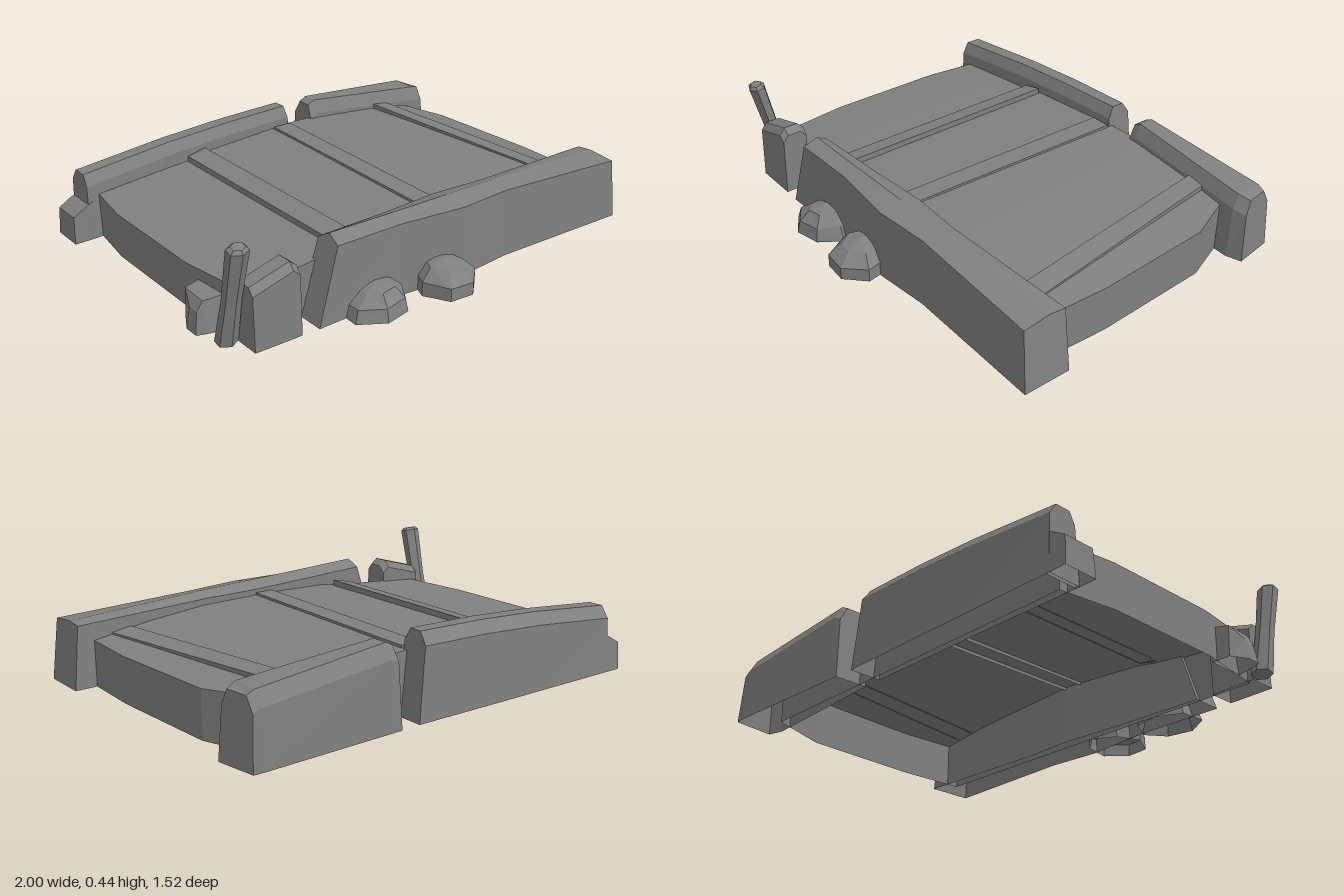
import * as THREE from 'three';

const stone = new THREE.MeshStandardMaterial({ color: 0x808080, flatShading: true, side: THREE.DoubleSide });
stone.name = 'grey stone';

function makeMesh(name, geometry) {
  const mesh = new THREE.Mesh(geometry, stone);
  mesh.name = name;
  return mesh;
}

// Joins cross-sections (front base over the top to back base) with flat faces, open underneath
function loft(name, sections, caps = true) {
  const out = [];
  const tri = (...pts) => pts.forEach((p) => out.push(...p));
  for (let i = 0; i < sections.length - 1; i++) {
    const s = sections[i], t = sections[i + 1];
    for (let j = 0; j < s.length - 1; j++) {
      tri(s[j], t[j], t[j + 1]);
      tri(s[j], t[j + 1], s[j + 1]);
    }
  }
  if (caps) {
    const a = sections[0], b = sections[sections.length - 1];
    for (let j = 1; j < a.length - 1; j++) {
      tri(a[0], a[j], a[j + 1]);
      tri(b[0], b[j + 1], b[j]);
    }
  }
  const g = new THREE.BufferGeometry();
  g.setAttribute('position', new THREE.Float32BufferAttribute(out, 3));
  g.computeVertexNormals();
  return makeMesh(name, g);
}

// Section at x whose upper points shift sideways with height; profile is [z, y] pairs
const section = (x, lean, profile) => profile.map(([z, y]) => [x + lean * y, y, z]);

// Height of the arched deck at x
const arch = [
  [-0.92, 0.19], [-0.6, 0.216], [-0.44, 0.226], [-0.32, 0.25], [0.05, 0.268], [0.35, 0.26], [0.65, 0.235], [0.92, 0.195],
];
function deckY(x) {
  let i = 0;
  while (i < arch.length - 2 && x > arch[i + 1][0]) i++;
  return THREE.MathUtils.mapLinear(x, arch[i][0], arch[i + 1][0], arch[i][1], arch[i + 1][1]);
}

function deck() {
  // z, left end and right end of each row
  const rows = [[0.475, -0.855, 0.9], [0.15, -0.9, 0.912], [-0.38, -0.9, 0.885], [-0.63, -0.865, 0.79]];
  const stations = [0, 0.17, 0.26, 0.32, 0.53, 0.7, 0.86, 1];
  const top = stations.map((t) => {
    const pts = rows.map(([z, l, r]) => {
      const x = l + (r - l) * t;
      return [x, deckY(x), z];
    });
    const f = pts[0], b = pts[3];
    return [[f[0], 0, f[2]], ...pts, [b[0], 0, b[2]]];
  });
  // end walls drop straight to the ground
  const drop = (s) => s.map(([x, , z]) => [x, 0, z]);
  return loft('deck', [drop(top[0]), ...top, drop(top[top.length - 1])], false);
}

// Thin raised course across the deck: x edges and rise at the back and at the front
function course(name, back, front, riseBack, riseFront, sink) {
  const zb = -0.6, zf = 0.425;
  const edge = (xb, xf) => {
    const yb = deckY(xb), yf = deckY(xf);
    return [[xf, yf - sink, zf], [xf, yf + riseFront, zf], [xb, yb + riseBack, zb], [xb, yb - sink, zb]];
  };
  return loft(name, [edge(back[0], front[0]), edge(back[1], front[1])]);
}

// Half-buried stone; sweep over 0.5 makes the sides bulge above the ground
function boulder(name, x, z, rx, h, rz, turn, sweep) {
  const g = new THREE.SphereGeometry(1, 7, 3, 0, Math.PI * 2, 0, Math.PI * sweep);
  const p = g.attributes.position;
  const base = Math.cos(Math.PI * sweep);
  for (let i = 0; i < p.count; i++) {
    const a = p.getX(i), y = (p.getY(i) - base) / (1 - base), b = p.getZ(i);
    const k = 1 + 0.07 * Math.sin(5 * a + 3 * b + turn);
    p.setXYZ(i, a * k, y * (1 + 0.1 * a), b * k);
  }
  g.rotateY(turn);
  g.scale(rx, h, rz);
  g.translate(x, 0, z);
  return makeMesh(name, g);
}

export function createModel() {
  const group = new THREE.Group();
  group.name = 'stoneBridge';

  group.add(deck());
  group.add(course('deckCourse', [-0.43, -0.34], [-0.43, -0.34], 0.025, 0.025, 0.004));
  group.add(course('middleCourse', [0.035, 0.125], [0.01, 0.1], 0.01, 0.01, 0.015));
  group.add(course('endCourse', [0.62, 0.7], [0.73, 0.82], 0.02, 0.007, 0.004));

  // Front parapet with a ridge along its top
  const frontWall = (x, lean, zo, zr, zi, yo, yr, yi) =>
    section(x, lean, [[zo, 0], [zo - 0.012, yo], [zr, yr], [zi + 0.005, yi], [zi, 0]]);
  group.add(loft('frontParapet', [
    frontWall(-0.605, 0.31, 0.59, 0.515, 0.455, 0.31, 0.337, 0.305),
    frontWall(-0.2, 0, 0.585, 0.51, 0.44, 0.303, 0.326, 0.297),
    frontWall(0.1, 0, 0.617, 0.505, 0.42, 0.297, 0.317, 0.292),
    frontWall(0.35, 0, 0.598, 0.5, 0.432, 0.292, 0.308, 0.287),
    frontWall(1, -0.1, 0.625, 0.49, 0.415, 0.265, 0.278, 0.27),
  ]));

  // Back parapets with chamfered crests
  const backWall = (x, lean, zf, zb, h, ch = 0.06) => section(x, lean, [
    [zf, 0], [zf - 0.01, h - ch], [zf - 0.035, h], [zb + 0.045, h], [zb + 0.01, h - ch], [zb, 0],
  ]);
  group.add(loft('longBackParapet', [
    backWall(-0.925, 0.02, -0.595, -0.742, 0.288, 0.05),
    backWall(-0.5, 0, -0.6, -0.742, 0.328, 0.05),
    backWall(-0.2, 0, -0.6, -0.742, 0.345, 0.05),
    backWall(0.15, -0.1, -0.602, -0.74, 0.352, 0.05),
  ]));
  const foot = (x, y) => section(x, 0.05, [[-0.594, 0], [-0.6, y], [-0.735, y], [-0.742, 0]]);
  group.add(loft('parapetFootStone', [foot(-1, 0.12), foot(-0.95, 0.15), foot(-0.91, 0.17)]));

  // far end of the short parapet is cut at a slant
  const slantedEnd = backWall(0.945, -0.05, -0.585, -0.763, 0.272)
    .map(([x, y, z]) => [x + (z + 0.6) * 0.15, y, z]);
  group.add(loft('shortBackParapet', [
    backWall(0.24, 0.05, -0.6, -0.745, 0.325),
    backWall(0.29, 0, -0.598, -0.747, 0.342),
    backWall(0.88, 0, -0.565, -0.765, 0.288),
    slantedEnd,
  ]));

  // Broken stone post beside the gap in the front parapet
  const post = (x, lean, y, zf, zb) =>
    section(x, lean, [[zf, 0], [zf - 0.005, y - 0.03], [zf - 0.03, y], [zb + 0.03, y], [zb, y - 0.03], [zb, 0]]);
  group.add(loft('cornerPost', [
    post(-0.885, 0, 0.255, 0.58, 0.455),
    post(-0.71, 0, 0.305, 0.585, 0.46),
    post(-0.68, 0, 0.28, 0.585, 0.465),
  ]));

  // Leaning pole, slightly thinner in the middle
  const profile = [[0, 0], [0.047, 0], [0.04, 0.2], [0.046, 0.425], [0.03, 0.438], [0, 0.438]];
  const pole = makeMesh('leaningPole', new THREE.LatheGeometry(profile.map(([r, y]) => new THREE.Vector2(r, y)), 6));
  pole.position.set(-0.927, 0.009, 0.455);
  pole.rotation.x = 0.24;
  pole.scale.z = 0.8;
  group.add(pole);

  // Loose stones
  group.add(loft('sideStone', [
    section(-0.988, 0.15, [[0.345, 0], [0.335, 0.09], [0.285, 0.09], [0.28, 0]]),
    section(-0.95, 0, [[0.36, 0], [0.34, 0.13], [0.22, 0.135], [0.21, 0]]),
    section(-0.87, 0, [[0.38, 0], [0.36, 0.14], [0.215, 0.15], [0.21, 0]]),
  ]));
  group.add(boulder('leftBoulder', -0.34, 0.595, 0.145, 0.115, 0.13, 0.4, 0.52));
  group.add(boulder('rightBoulder', -0.02, 0.625, 0.13, 0.125, 0.147, 1.9, 0.6));

  return group;
}
